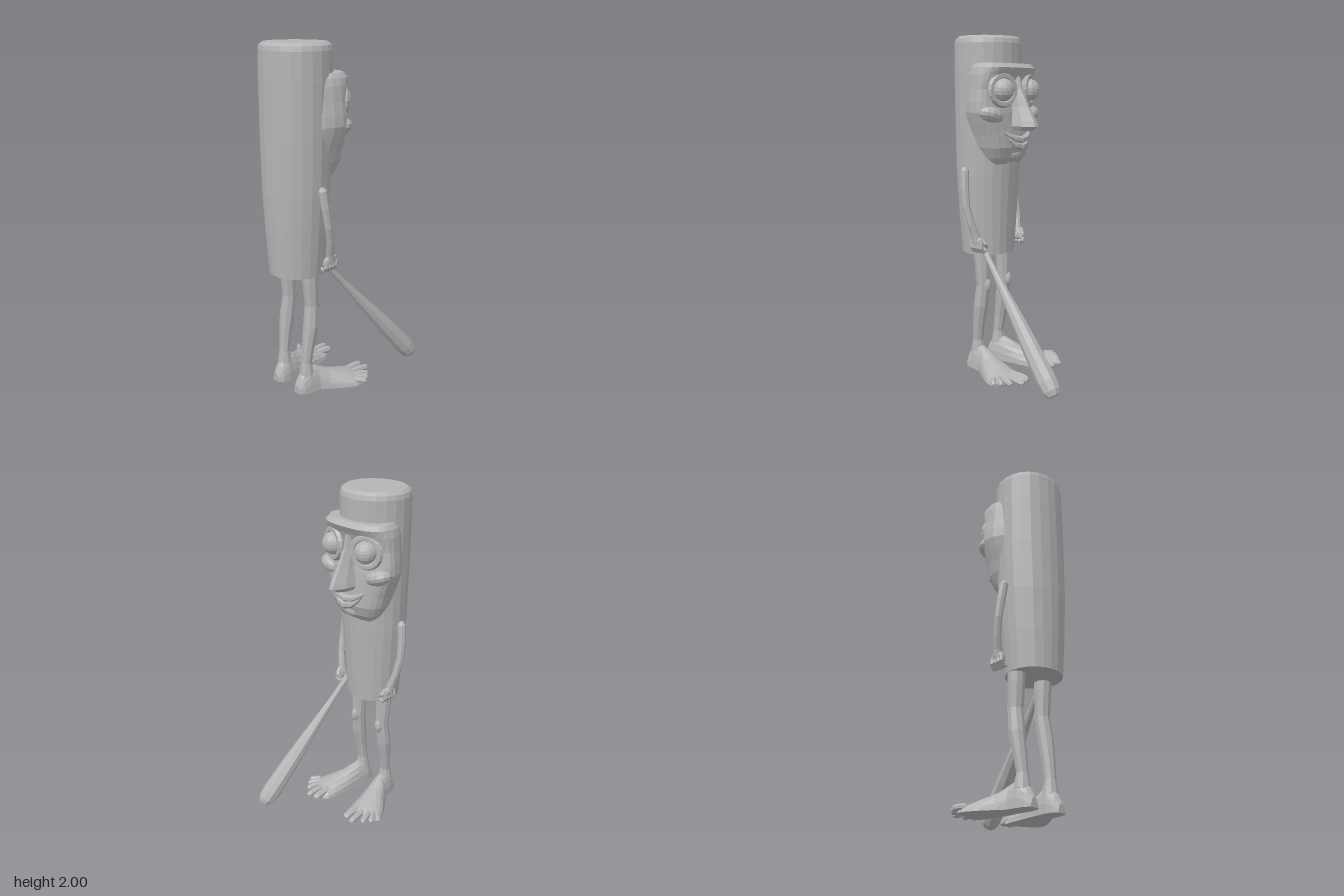
import * as THREE from 'three';

const clay = new THREE.MeshStandardMaterial({ color: 0xb4b4b4 });
clay.name = 'grey clay';
const V = (x, y, z) => new THREE.Vector3(x, y, z);

// Faceted closed skin through equal-sized rings of points, always facing outward
function loft(rings) {
  const n = rings[0].length, tris = [];
  const middle = r => r.reduce((a, p) => a.add(p), V(0, 0, 0)).divideScalar(n);
  const first = middle(rings[0]), last = middle(rings[rings.length - 1]);
  for (let j = 0; j < n; j++) {
    const k = (j + 1) % n;
    for (let i = 0; i < rings.length - 1; i++) {
      const a = rings[i], b = rings[i + 1];
      tris.push([a[j], a[k], b[j]], [a[k], b[k], b[j]]);
    }
    tris.push([first, rings[0][k], rings[0][j]]);
    tris.push([last, rings[rings.length - 1][j], rings[rings.length - 1][k]]);
  }
  let volume = 0;
  for (const [a, b, c] of tris) volume += a.clone().sub(first).dot(b.clone().sub(first).cross(c.clone().sub(first)));
  const pts = tris.flatMap(([a, b, c]) => (volume > 0 ? [a, b, c] : [a, c, b]));
  const g = new THREE.BufferGeometry().setFromPoints(pts);
  g.computeVertexNormals();
  return g;
}

// Upright form from rows of [y, half width, front z, widest z, back z]
function column(rows, sides, power = 2, cx = 0) {
  return loft(rows.map(([y, w, zf, zc, zb]) => Array.from({ length: sides }, (_, i) => {
    const a = (i / sides) * Math.PI * 2, c = Math.cos(a), s = Math.sin(a);
    const e = s < 0 ? 2 / power : 1;
    const x = Math.sign(c) * Math.abs(c) ** e * w;
    return V(cx + x, y, s < 0 ? zc - (zc - zf) * Math.abs(s) ** e : zc + (zb - zc) * s);
  })));
}

// Tapered limb along rows of [x, y, z, radius]
function limb(rows, sides = 8, ref = V(1, 0, 0)) {
  const p = rows.map(r => V(r[0], r[1], r[2]));
  return loft(p.map((c, i) => {
    const t = p[Math.min(i + 1, p.length - 1)].clone().sub(p[Math.max(i - 1, 0)]).normalize();
    const u = t.clone().cross(ref).normalize(), v = t.clone().cross(u);
    return Array.from({ length: sides }, (_, j) => {
      const a = (j / sides) * Math.PI * 2, r = rows[i][3];
      return c.clone().addScaledVector(u, Math.cos(a) * r).addScaledVector(v, Math.sin(a) * r);
    });
  }));
}

function faceted(g) {
  const f = g.toNonIndexed();
  f.computeVertexNormals();
  return f;
}

export function createModel() {
  const model = new THREE.Group();
  model.name = 'logFigure';
  const add = (name, geometry, parent = model) => {
    const m = new THREE.Mesh(geometry, clay);
    m.name = name;
    parent.add(m);
    return m;
  };
  const blob = (name, x, y, z, rx, ry, rz) => {
    const m = add(name, faceted(new THREE.SphereGeometry(1, 12, 8)));
    m.position.set(x, y, z);
    m.scale.set(rx, ry, rz);
    return m;
  };

  // Log-shaped body
  add('body', column([
    [0.73, 0.162, 0.108, 0.26, 0.418], [0.95, 0.18, 0.095, 0.257, 0.432],
    [1.2, 0.197, 0.078, 0.255, 0.443], [1.5, 0.204, 0.06, 0.25, 0.445],
    [1.8, 0.206, 0.055, 0.25, 0.445], [1.96, 0.204, 0.055, 0.25, 0.442],
    [1.985, 0.197, 0.062, 0.25, 0.437], [2.0, 0.178, 0.08, 0.25, 0.415],
  ], 22));

  // Face, turned towards -z
  add('face', column([
    [1.26, 0.12, 0.09, 0.15, 0.3], [1.31, 0.155, 0.05, 0.15, 0.3],
    [1.37, 0.185, 0.028, 0.15, 0.31], [1.44, 0.205, 0.03, 0.15, 0.33],
    [1.51, 0.23, 0.035, 0.145, 0.34], [1.57, 0.25, 0.04, 0.14, 0.34],
    [1.63, 0.248, 0.052, 0.14, 0.34], [1.7, 0.238, 0.058, 0.14, 0.34],
    [1.78, 0.232, 0.025, 0.14, 0.33], [1.82, 0.222, 0.0, 0.14, 0.32],
    [1.845, 0.205, 0.03, 0.14, 0.3],
  ], 24, 2.5));
  add('nose', column([
    [1.77, 0.025, 0.015, 0.07, 0.09], [1.7, 0.03, 0.002, 0.07, 0.09],
    [1.6, 0.04, -0.05, 0.07, 0.09], [1.52, 0.056, -0.098, 0.06, 0.09],
    [1.49, 0.06, -0.11, 0.05, 0.09], [1.465, 0.045, -0.06, 0.05, 0.09],
  ], 10, 1.7));
  blob('chin', 0, 1.325, 0.075, 0.07, 0.04, 0.04);
  const lip = (y, z, r, half, rise) => limb([-1, -0.75, -0.4, 0, 0.4, 0.75, 1].map(t =>
    [t * half, y + rise * t * t, z + 0.03 * t * t, r * (1 - 0.8 * t * t)]), 7, V(0, 1, 0));
  add('upperLip', lip(1.412, 0.012, 0.023, 0.12, 0.05));
  add('lowerLip', lip(1.372, 0.014, 0.025, 0.105, 0.075));

  for (const s of [-1, 1]) {
    const side = s < 0 ? 'right' : 'left';
    // Eyes with heavy lids and round sockets
    const ring = add(side + 'EyeSocket', faceted(new THREE.TorusGeometry(0.08, 0.02, 6, 18)));
    ring.position.set(s * 0.122, 1.695, 0.048);
    ring.rotation.y = -s * 0.3;
    blob(side + 'Eyeball', s * 0.122, 1.69, 0.042, 0.059, 0.058, 0.059);
    const lid = add(side + 'Eyelid', faceted(new THREE.SphereGeometry(0.066, 14, 6, 0, Math.PI * 2, 0, Math.PI / 2)));
    lid.position.set(s * 0.122, 1.695, 0.044);
    lid.rotation.x = -0.15;
    const cheek = blob(side + 'Cheek', s * 0.17, 1.555, 0.098, 0.085, 0.048, 0.07);
    cheek.rotation.z = s * 0.3;

    // Arms
    add(side + 'Arm', limb([
      [s * 0.212, 1.255, 0.258, 0.012], [s * 0.215, 1.235, 0.257, 0.025],
      [s * 0.228, 1.14, 0.248, 0.024], [s * 0.234, 1.03, 0.232, 0.022],
      [s * 0.222, 0.93, 0.208, 0.021], [s * 0.203, 0.86, 0.192, 0.023],
      [s * 0.195, 0.82, 0.185, 0.026],
    ]));
    const palm = blob(side + 'Palm', s * 0.19, 0.812, 0.185, 0.024, 0.042, 0.045);
    palm.rotation.z = -s * 0.3;
    for (let i = 0; i < 4; i++) {
      const z = 0.222 - i * 0.024;
      add(side + 'Finger', limb([
        [s * 0.2, 0.82, z, 0.013], [s * 0.203, 0.788, z, 0.014],
        [s * 0.184, 0.762, z - 0.004, 0.013], [s * 0.158, 0.772, z - 0.004, 0.008],
      ], 6, V(0, 0, 1)));
    }
    add(side + 'Thumb', limb([
      [s * 0.195, 0.84, 0.16, 0.014], [s * 0.182, 0.81, 0.137, 0.014], [s * 0.165, 0.785, 0.14, 0.008],
    ], 6));

    // Legs
    const lx = s < 0 ? -0.11 : 0.09;
    add(side + 'Leg', limb([
      [lx, 0.78, 0.24, 0.05], [lx, 0.68, 0.238, 0.048], [lx, 0.53, 0.23, 0.042],
      [lx + s * 0.006, 0.4, 0.245, 0.045], [lx + s * 0.004, 0.28, 0.264, 0.037],
      [lx, 0.18, 0.276, 0.032], [lx, 0.1, 0.275, 0.045],
    ], 9));
    blob(side + 'Knee', lx, 0.53, 0.2, 0.026, 0.045, 0.026);

    // Splayed feet: rows of [outward x, z, half width, height]
    const shift = s < 0 ? -0.005 : -0.012;
    const foot = [
      [0.1, 0.352, 0.025, 0.05], [0.1, 0.325, 0.047, 0.1], [0.102, 0.28, 0.055, 0.155],
      [0.11, 0.22, 0.057, 0.14], [0.135, 0.14, 0.07, 0.1], [0.17, 0.05, 0.092, 0.07],
      [0.19, -0.01, 0.1, 0.05], [0.2, -0.045, 0.09, 0.03],
    ];
    add(side + 'Foot', loft(foot.map(([x, z, w, h], i) => Array.from({ length: 10 }, (_, j) => {
      const a = (j / 9) * Math.PI, c = Math.cos(a);
      return V(s * (x + c * w) + shift, Math.sin(a) * h, z + (i > 3 ? c * w * 0.45 : 0));
    }))));
    const toes = [
      [0.14, -0.02, 0.14, -0.135, 0.026], [0.185, -0.02, 0.195, -0.145, 0.022],
      [0.22, 0, 0.25, -0.095, 0.02], [0.245, 0.01, 0.287, -0.055, 0.019],
      [0.26, 0.03, 0.312, -0.015, 0.018],
    ];
    for (const [x0, z0, x1, z1, r] of toes) {
      const at = (t, y, k) => [s * (x0 + (x1 - x0) * t) + shift, y, z0 + (z1 - z0) * t, r * k];
      add(side + 'Toe', limb([at(0, 0.03, 0.9), at(0.5, 0.029, 0.9), at(0.85, 0.024, 0.9), at(1, 0.02, 0.5)], 7, V(0, 1, 0)));
    }
  }

  // Club held in the left hand
  const from = V(0.148, 0.8, 0.195), to = V(0.287, 0.07, -0.42);
  const club = [[0, 0.022], [0.04, 0.018], [0.2, 0.019], [0.35, 0.028], [0.5, 0.039],
    [0.7, 0.051], [0.92, 0.058], [0.98, 0.052], [1.01, 0.036]];
  add('club', limb(club.map(([t, r]) => [...from.clone().lerp(to, t).toArray(), r]), 9));

  return model;
}
